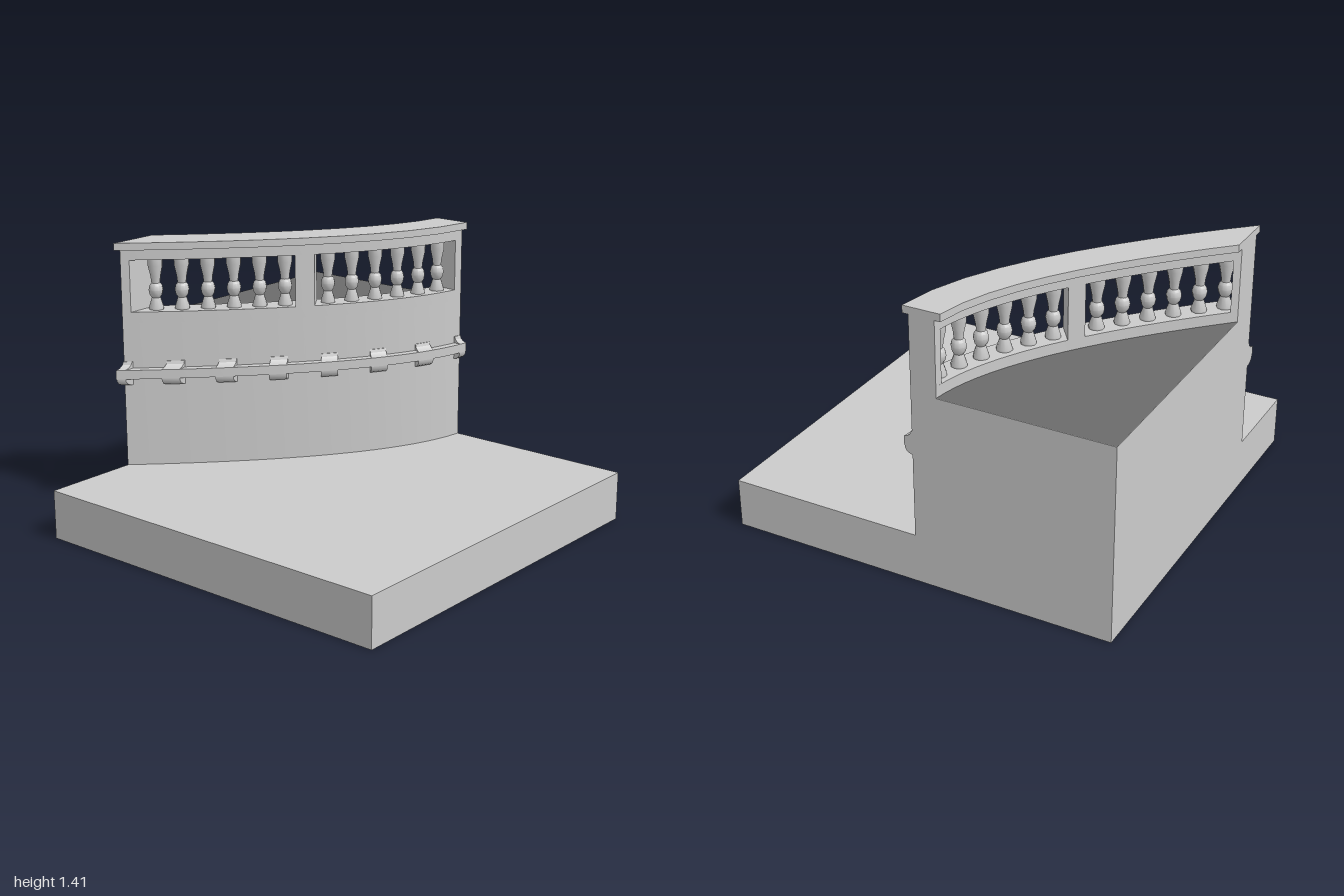
import * as THREE from 'three';
import { toCreasedNormals } from 'three/addons/utils/BufferGeometryUtils.js';

const stone = new THREE.MeshStandardMaterial({ color: 0xcccccc });
const dark = new THREE.MeshStandardMaterial({ color: 0x6b6b6b });
const THICK = 0.13;

// Plan curve of the outer wall face, from the back edge to the side edge
const P0 = new THREE.Vector3(0, 0, -1);
const P1 = new THREE.Vector3(-0.052, 0, -0.4);
const P2 = new THREE.Vector3(-1, 0, 0.5);
const curve = new THREE.QuadraticBezierCurve3(P0, P1, P2);

// Point on the curve at parameter t, pushed outward by d
function offset(t, d) {
  const tan = P1.clone().sub(P0).lerp(P2.clone().sub(P1), t).normalize();
  return curve.getPoint(t).add(new THREE.Vector3(tan.z * d, 0, -tan.x * d));
}

// Point at arc fraction s; the ends always lie on the planes z = -1 and x = -1
function rail(s, d, y = 0) {
  let a = 0, b = 1;
  for (let i = 0; i < 15; i++) {
    a -= (offset(a, d).z + 1) / 1.2;
    b += (offset(b, d).x + 1) / 2;
  }
  const p = offset(a + (b - a) * curve.getUtoTmapping(s), d);
  p.y = y;
  return p;
}

// Sweep a closed counter-clockwise profile of [outward, height] along the wall
function sweep(name, profile, s0, s1, segments) {
  const n = profile.length;
  const rings = [];
  for (let i = 0; i <= segments; i++) {
    const s = s0 + ((s1 - s0) * i) / segments;
    rings.push(profile.map(([d, y]) => rail(s, d, y)));
  }
  const out = [];
  const tri = (...pts) => pts.forEach((p) => out.push(p.x, p.y, p.z));
  for (let i = 0; i < segments; i++) {
    for (let j = 0; j < n; j++) {
      const k = (j + 1) % n;
      const A = rings[i], B = rings[i + 1];
      tri(A[j], A[k], B[k]);
      tri(A[j], B[k], B[j]);
    }
  }
  const first = rings[0], last = rings[segments];
  const flat = profile.map(([d, y]) => new THREE.Vector2(d, y));
  for (const [a, b, c] of THREE.ShapeUtils.triangulateShape(flat, [])) {
    tri(last[a], last[b], last[c]);
    tri(first[a], first[c], first[b]);
  }
  const geo = new THREE.BufferGeometry();
  geo.setAttribute('position', new THREE.Float32BufferAttribute(out, 3));
  geo.computeVertexNormals();
  return mesh(name, toCreasedNormals(geo, 0.5));
}

const rect = (d0, d1, y0, y1) => [[d0, y0], [d1, y0], [d1, y1], [d0, y1]];

function mesh(name, geo, material = stone) {
  const m = new THREE.Mesh(geo, material);
  m.name = name;
  return m;
}

// Plan outline between the back corner and the wall line at offset d
function planShape(d) {
  const pts = [new THREE.Vector2(-1, 1)];
  for (let i = 0; i <= 24; i++) {
    const p = rail(i / 24, d);
    pts.push(new THREE.Vector2(p.x, -p.z));
  }
  return new THREE.Shape(pts);
}

export function createModel() {
  const model = new THREE.Group();

  const base = mesh('base', new THREE.BoxGeometry(2, 0.25, 2));
  base.position.y = 0.125;
  model.add(base);

  // Solid body under the terrace
  const bodyGeo = new THREE.ExtrudeGeometry(planShape(0), { depth: 0.748, bevelEnabled: false });
  const body = mesh('curvedBody', toCreasedNormals(bodyGeo.rotateX(-Math.PI / 2), 0.5));
  body.position.y = 0.25;
  model.add(body);

  const floor = mesh('terraceFloor', new THREE.ShapeGeometry(planShape(-THICK)).rotateX(-Math.PI / 2), dark);
  floor.position.y = 1;
  model.add(floor);

  // Parapet: sill, posts, lintel and overhanging cap
  const openings = [[0.027, 0.471], [0.5255, 0.976]];
  model.add(sweep('parapetSill', rect(-THICK, 0, 0.998, 1.055), 0, 1, 24));
  const posts = [[0, openings[0][0]], [openings[0][1], openings[1][0]], [openings[1][1], 1]];
  for (const [a, b] of posts) {
    model.add(sweep('parapetPost', rect(-THICK, 0, 1.055, 1.32), a, b, 2));
  }
  model.add(sweep('parapetLintel', rect(-THICK, 0, 1.32, 1.376), 0, 1, 24));
  model.add(sweep('parapetCap', rect(-THICK - 0.03, 0.03, 1.376, 1.413), 0, 1, 10));

  // Turned balusters in both openings
  const profile = [
    [0.038, 1.055], [0.038, 1.065], [0.022, 1.115], [0.032, 1.13], [0.037, 1.155],
    [0.032, 1.177], [0.022, 1.19], [0.026, 1.225], [0.038, 1.28], [0.038, 1.32],
  ].map(([r, y]) => new THREE.Vector2(r, y));
  const balusterGeo = toCreasedNormals(new THREE.LatheGeometry(profile, 10), 0.7);
  for (const [a, b] of openings) {
    for (let i = 0; i < 6; i++) {
      const baluster = mesh('baluster', balusterGeo);
      baluster.position.copy(rail(a + ((b - a) * (i + 0.5)) / 6, -THICK / 2));
      model.add(baluster);
    }
  }

  // String course with evenly spaced brackets, halved at both ends
  model.add(sweep('stringCourse', rect(-0.01, 0.042, 0.718, 0.765), 0, 1, 24));
  const bracket = [
    [-0.01, 0.677], [0.012, 0.68], [0.029, 0.69], [0.038, 0.705], [0.04, 0.72],
    [0.04, 0.765], [0.022, 0.772], [0.009, 0.784], [0.004, 0.8], [-0.01, 0.8],
  ];
  const half = 0.024;
  for (let i = 0; i < 8; i++) {
    const s = i / 7;
    model.add(sweep('bracket', bracket, Math.max(0, s - half), Math.min(1, s + half), 2));
  }
  return model;
}
